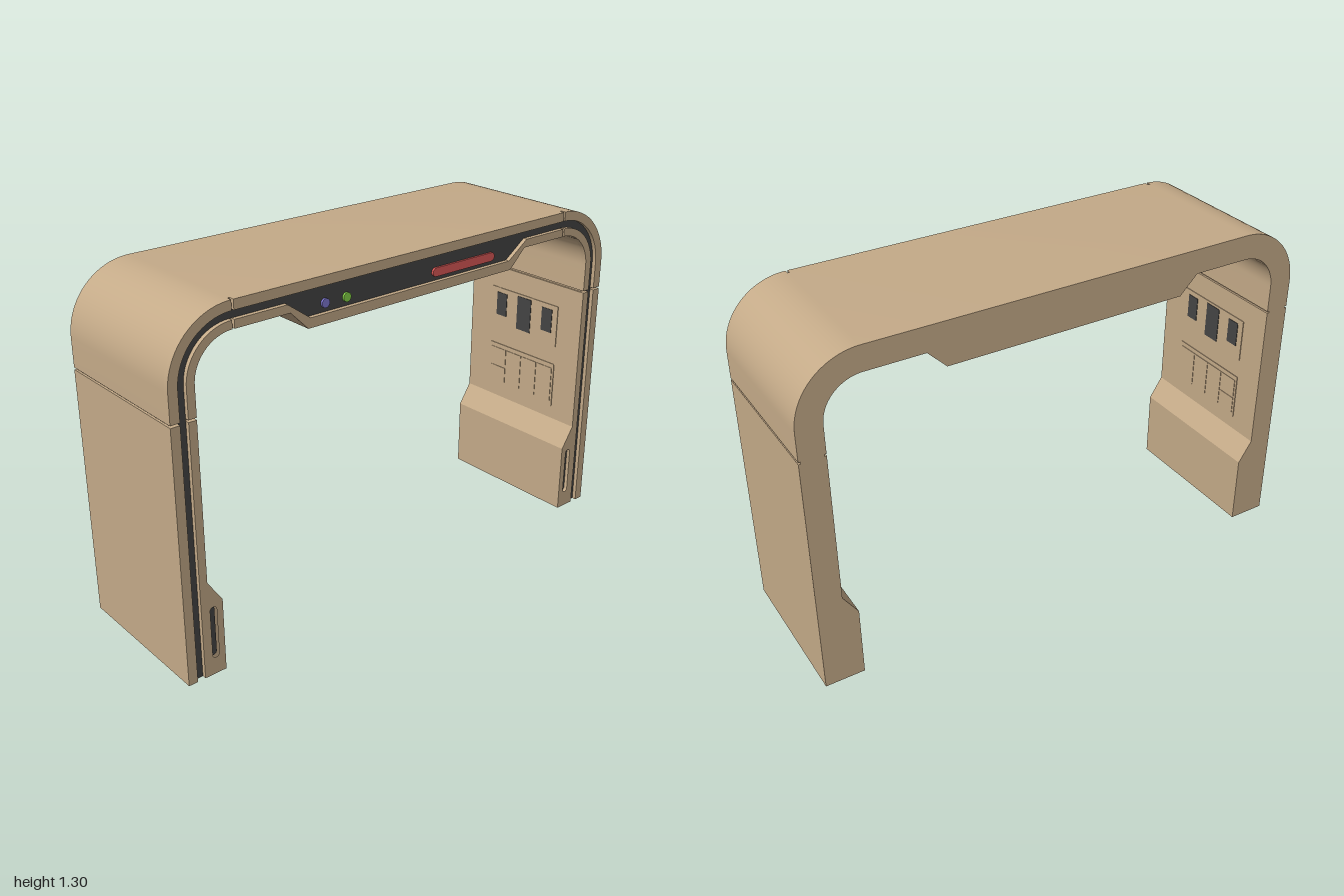
import * as THREE from 'three';
import { toCreasedNormals } from 'three/addons/utils/BufferGeometryUtils.js';

const mat = (color) => new THREE.MeshStandardMaterial({ color });
const TAN = mat(0xc4aa88), DARK = mat(0x444444), RED = mat(0xdc5a58), GREEN = mat(0x86d548);
const PURPLE = mat(0x7f78d2), SCREEN = mat(0xa9c0dc), LAMP = mat(0xece6e2);

// Bend of the arch: all corner curves share one centre
const CX = 0.76, CY = 1.065;
const arc = (r, n = 20) => Array.from({ length: n + 1 }, (_, i) => {
  const a = (i / n) * Math.PI / 2;
  return [CX + r * Math.cos(a), CY + r * Math.sin(a)];
});
const flip = (pts) => pts.map(([x, y]) => [-x, y]);
const rev = (pts) => [...pts].reverse();
const sym = (half) => [...half, ...rev(flip(half))];
const vec = (pts) => pts.map(([x, y]) => new THREE.Vector2(x, y));

// Rounded slot outline
function capsule(x0, x1, y0, y1) {
  const r = Math.min(x1 - x0, y1 - y0) / 2, pts = [];
  const corners = [[x1 - r, y1 - r], [x0 + r, y1 - r], [x0 + r, y0 + r], [x1 - r, y0 + r]];
  corners.forEach(([cx, cy], k) => {
    for (let i = 0; i <= 6; i++) {
      const a = (k + i / 6) * Math.PI / 2;
      pts.push([cx + r * Math.cos(a), cy + r * Math.sin(a)]);
    }
  });
  return pts;
}

export function createModel() {
  const model = new THREE.Group();

  const add = (name, geometry, material, parent = model) => {
    const mesh = new THREE.Mesh(geometry, material);
    mesh.name = name;
    parent.add(mesh);
    return mesh;
  };
  const plate = (name, pts, z0, z1, material, hole) => {
    const shape = new THREE.Shape(vec(pts));
    if (hole) shape.holes.push(new THREE.Path(vec(hole)));
    const geo = new THREE.ExtrudeGeometry(shape, { depth: z1 - z0, bevelEnabled: false });
    geo.translate(0, 0, z0);
    return add(name, toCreasedNormals(geo, 0.4), material);
  };
  const box = (name, w, h, d, x, y, z, material, parent) => {
    const mesh = add(name, new THREE.BoxGeometry(w, h, d), material, parent);
    mesh.position.set(x, y, z);
    return mesh;
  };

  // Main arch, with a shallow seam cut in its outer and inner walls
  const S0 = 0.951, S1 = 0.959, FLOOR = 0.28, FRONT = 0.3;
  const outer = [[1, 0], [1, S0], [0.992, S0], [0.992, S1], [1, S1], ...arc(0.24)];
  const inner = [[0.85, 0], [0.85, 0.28], [0.905, 0.365], [0.905, S0], [0.913, S0], [0.913, S1],
    [0.905, S1], ...arc(0.145), [0.54, 1.21], [0.47, 1.14]];
  plate('archBody', [...sym(outer), ...rev(sym(inner))], -0.3, FLOOR, TAN);

  // Dark channel floor that widens into the top display
  const floorOuter = [[0.965, 0], ...arc(0.205)];
  const floorInner = [[0.935, 0], ...arc(0.175), [0.55, 1.24], [0.46, 1.175]];
  plate('frontChannel', [...sym(floorOuter), ...rev(sym(floorInner))], FLOOR, 0.284, DARK);

  // Front rims on both sides of the channel, split at the seams
  for (const [side, at] of [['left', (p) => p], ['right', flip]]) {
    const rim = (name, pts, hole) => plate(side + name, at(pts), FLOOR, FRONT, TAN, hole && at(hole));
    const slot = capsule(0.875, 0.901, 0.065, 0.265);
    rim('OuterLegRim', [[0.965, 0], [1, 0], [1, S0], [0.965, S0]]);
    rim('OuterCornerRim', [[1, S1], ...arc(0.24), ...rev(arc(0.205)), [0.965, S1]]);
    rim('InnerLegRim', [[0.85, 0], [0.935, 0], [0.935, S0], [0.905, S0], [0.905, 0.365], [0.85, 0.28]], slot);
    rim('InnerCornerRim', [[0.935, S1], ...arc(0.175), ...rev(arc(0.145)), [0.905, S1]]);
    plate(side + 'LegSlot', at(slot), FLOOR, 0.285, DARK);
  }
  const T = 0.752;
  plate('outerTopRim', [[-T, 1.27], [T, 1.27], [T, 1.305], [-T, 1.305]], FLOOR, FRONT, TAN);
  plate('innerTopRim', [...sym([[T, 1.24], [0.55, 1.24], [0.46, 1.175]]),
    ...rev(sym([[T, 1.21], [0.54, 1.21], [0.47, 1.14]]))], FLOOR, FRONT, TAN);

  // Indicators on the display
  plate('redBar', capsule(0.085, 0.39, 1.19, 1.222), 0.284, 0.292, RED);
  plate('purpleLight', capsule(-0.406, -0.374, 1.19, 1.222), 0.284, 0.292, PURPLE);
  plate('greenLight', capsule(-0.316, -0.284, 1.19, 1.222), 0.284, 0.292, GREEN);

  // Ceiling screen and the lamps on the sloped ends of its housing
  box('ceilingScreen', 0.61, 0.004, 0.4, 0, 1.139, 0, SCREEN);
  for (const s of [1, -1]) {
    const lamp = box('slopeLamp', 0.032, 0.006, 0.28, s * 0.505, 1.175, 0, LAMP);
    lamp.rotation.z = s * Math.PI / 4;
  }

  // Inner wall panels: three dark windows above, a row of small doors below
  for (const s of [1, -1]) {
    const wall = new THREE.Group();
    wall.name = s > 0 ? 'leftWallPanels' : 'rightWallPanels';
    model.add(wall);
    const X = s * 0.905;
    box('upperPanel', 0.006, 0.175, 0.36, X, 0.773, 0, TAN, wall);
    for (const [z, y, w, h] of [[0.125, 0.79, 0.055, 0.1], [0, 0.778, 0.075, 0.145], [-0.125, 0.79, 0.055, 0.1]])
      box('window', 0.01, h, w, X, y, z, DARK, wall);
    box('lowerPanel', 0.006, 0.188, 0.36, X, 0.514, 0, TAN, wall);
    for (let i = 0; i < 3; i++)
      box('door', 0.01, 0.15, 0.082, X, 0.514, 0.129 - i * 0.086, TAN, wall);
    for (const [y, h] of [[0.549, 0.08], [0.472, 0.066]])
      box('drawer', 0.01, h, 0.082, X, y, -0.129, TAN, wall);
  }

  return model;
}
